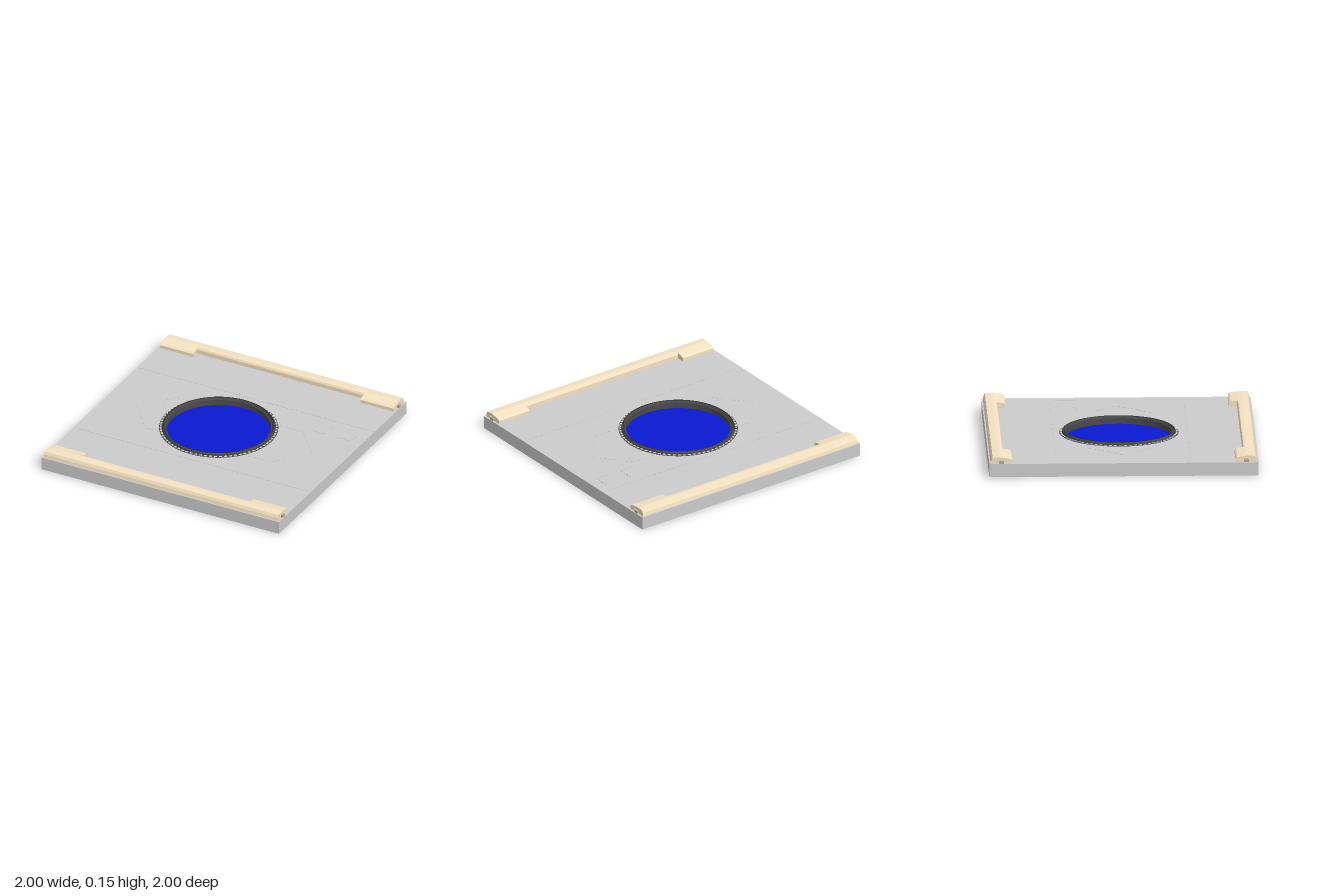
import * as THREE from 'three';

const CX = -0.05, CZ = -0.01; // centre of the round port
const TOP = 0.1;              // deck height

const mat = (color, extra = {}) => new THREE.MeshStandardMaterial({ color, ...extra });

function add(parent, name, geometry, material) {
  const mesh = new THREE.Mesh(geometry, material);
  mesh.name = name;
  parent.add(mesh);
  return mesh;
}

// Extrudes a (z, y) profile along x from x0 to x1
function extrudeX(points, x0, x1, hole) {
  const shape = new THREE.Shape(points.map(([z, y]) => new THREE.Vector2(-z, y)));
  if (hole) shape.holes.push(new THREE.Path(hole.map(([z, y]) => new THREE.Vector2(-z, y))));
  const g = new THREE.ExtrudeGeometry(shape, { depth: x1 - x0, bevelEnabled: false });
  return g.rotateY(Math.PI / 2).translate(x0, 0, 0);
}

function createRail(tan, darkTan) {
  const rail = new THREE.Group();
  const outer = [[0.99, TOP], [0.985, 0.125], [0.975, 0.144], [0.93, 0.148], [0.91, 0.147]];
  const narrow = [...outer, [0.897, 0.144], [0.89, 0.13], [0.89, TOP]];
  const wide = [...outer, [0.842, 0.136], [0.83, 0.125], [0.83, TOP]];
  const notch = [[0.945, 0.103], [0.94, 0.125], [0.88, 0.125], [0.875, 0.103]];
  add(rail, 'railBar', extrudeX(narrow, -0.705, 0.705), tan);
  for (const s of [-1, 1]) {
    const span = (a, b) => (s > 0 ? [a, b] : [-b, -a]);
    add(rail, 'railEndBlock', extrudeX(wide, ...span(0.705, 0.955)), tan);
    add(rail, 'railEndCap', extrudeX(wide, ...span(0.955, 0.985), notch), tan);
    // small connector inside the end notch
    const plug = add(rail, 'railPlug', new THREE.BoxGeometry(0.045, 0.019, 0.035), darkTan);
    plug.position.set(s * 0.9725, 0.1095, 0.91);
  }
  return rail;
}

// Fine dashed marking following a list of (x, z) points
function dashedLine(parent, points, material, dash = 0.026, gap = 0.014) {
  for (let i = 0; i + 1 < points.length; i++) {
    const [ax, az] = points[i], [bx, bz] = points[i + 1];
    const len = Math.hypot(bx - ax, bz - az);
    const n = Math.max(1, Math.round(len / (dash + gap)));
    for (let k = 0; k < n; k++) {
      const t = (k + 0.5) / n;
      const m = add(parent, 'deckDash', new THREE.BoxGeometry((len / n) * dash / (dash + gap), 0.002, 0.003), material);
      m.position.set(ax + (bx - ax) * t, TOP + 0.001, az + (bz - az) * t);
      m.rotation.y = -Math.atan2(bz - az, bx - ax);
    }
  }
}

export function createModel() {
  const model = new THREE.Group();
  model.name = 'floorTile';
  const grey = mat(0xcccccc);
  const tan = mat(0xf4e3c2);
  const darkTan = mat(0xb9a583);
  const dark = mat(0x4a4a4a, { side: THREE.DoubleSide });
  const black = mat(0x2c2c2c);

  // Deck slab with a round through hole
  const slab = new THREE.Shape([[-1, -1], [1, -1], [1, 1], [-1, 1]].map(p => new THREE.Vector2(...p)));
  slab.holes.push(new THREE.Path().absarc(CX, -CZ, 0.415, 0, Math.PI * 2, true));
  const slabGeo = new THREE.ExtrudeGeometry(slab, { depth: TOP, bevelEnabled: false, curveSegments: 64 });
  add(model, 'deckSlab', slabGeo.rotateX(-Math.PI / 2), grey);

  // Side rails, front and back
  for (const [name, angle] of [['frontRail', 0], ['backRail', Math.PI]]) {
    const rail = createRail(tan, darkTan);
    rail.name = name;
    rail.rotation.y = angle;
    model.add(rail);
  }

  // Round port: collar, toothed flange and panel
  const port = new THREE.Group();
  port.name = 'roundPort';
  port.position.set(CX, 0, CZ);
  model.add(port);
  const profile = [[0.39, 0.03], [0.39, 0.108], [0.397, 0.108], [0.403, 0.122], [0.415, 0.122],
    [0.42, 0.116], [0.422, 0.103], [0.44, 0.103], [0.443, TOP], [0.4145, TOP], [0.4145, 0.03], [0.39, 0.03]];
  // each profile step is its own band, so edges stay crisp
  for (let i = 0; i + 1 < profile.length; i++) {
    const pair = [profile[i], profile[i + 1]].map(p => new THREE.Vector2(...p));
    add(port, 'collarBand', new THREE.LatheGeometry(pair, 96), dark);
  }
  const trim = add(port, 'collarTrim', new THREE.TorusGeometry(0.409, 0.003, 6, 96), black);
  trim.rotation.x = Math.PI / 2;
  trim.position.y = 0.122;
  const teeth = 72;
  for (let i = 0; i < teeth; i++) {
    const a = (i / teeth) * Math.PI * 2;
    const tooth = add(port, 'flangeTooth', new THREE.BoxGeometry(0.014, 0.003, 0.022), grey);
    tooth.position.set(Math.cos(a) * 0.431, 0.1035, Math.sin(a) * 0.431);
    tooth.rotation.y = -a;
  }
  const panel = add(port, 'bluePanel', new THREE.CylinderGeometry(0.39, 0.39, 0.035, 96), mat(0x0a18d2));
  panel.position.y = 0.0475;

  // Deck markings
  const marks = new THREE.Group();
  marks.name = 'deckMarkings';
  model.add(marks);
  for (const z of [-0.5, 0.5]) dashedLine(marks, [[-1, z], [1, z]], grey, 0.035, 0.005);
  dashedLine(marks, [[-0.42, -0.25], [-0.53, -0.25], [-0.74, 0], [-0.53, 0.25], [-0.42, 0.25]], grey);
  dashedLine(marks, [[0.33, -0.25], [0.53, -0.25], [0.74, 0], [0.53, 0.25], [0.33, 0.25]], grey);
  for (const x of [0.69, 0.91]) dashedLine(marks, [[x - 0.12, -0.3], [x, -0.3], [x, -0.44]], grey, 0.036, 0.004);

  return model;
}
